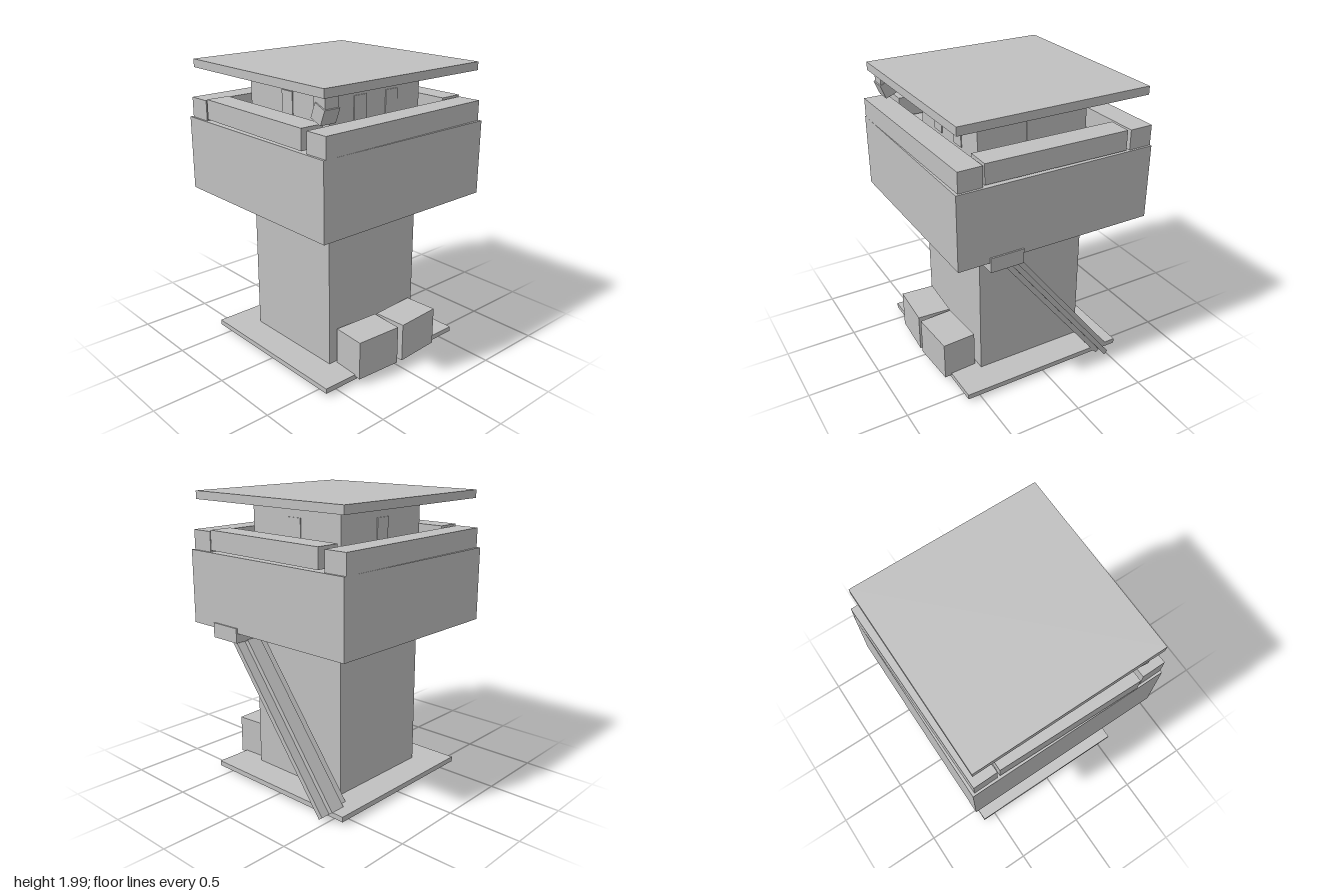
import * as THREE from 'three';

export function createModel() {
  const model = new THREE.Group();
  model.name = 'watchtower';
  const grey = new THREE.MeshStandardMaterial({ color: 0xc0c0c0 });
  grey.name = 'plain grey';

  // Box of a given size, placed by its centre, with optional rotation
  function box(name, [w, h, d], [x, y, z], [rx, ry] = [0, 0]) {
    const mesh = new THREE.Mesh(new THREE.BoxGeometry(w, h, d), grey);
    mesh.name = name;
    mesh.position.set(x, y, z);
    mesh.rotation.set(rx, ry, 0);
    model.add(mesh);
    return mesh;
  }

  const cx = -0.008; // tower axis

  // Main stack
  box('base', [1.195, 0.035, 1.195], [cx, 0.048, 0]);
  box('shaft', [0.78, 1.885, 0.78], [cx, 1.005, 0]);
  box('platform', [1.375, 0.502, 1.375], [cx, 1.361, 0]);
  box('roof', [1.311, 0.055, 1.311], [cx, 1.9725, 0]);

  // Parapet walls, each slightly askew
  box('frontParapet', [1.345, 0.135, 0.162], [cx, 1.679, 0.597], [0, 0.015]);
  box('backParapet', [1.345, 0.135, 0.162], [cx, 1.679, -0.597], [0, 0.015]);
  box('leftParapet', [0.162, 0.133, 0.985], [0.592, 1.691, 0.003], [0, -0.015]);
  box('rightParapet', [0.162, 0.133, 0.985], [-0.607, 1.691, 0.003], [0, -0.015]);

  // Thin window plates around the lookout
  const windowY = 1.75, windowH = 0.21;
  for (const x of [-0.144, 0.126]) {
    box('frontWindow', [0.105, windowH, 0.008], [x, windowY, 0.392]);
  }
  box('backWindow', [0.105, windowH, 0.008], [cx, windowY, -0.392]);
  for (const side of [-1, 1]) {
    box('sideWindow', [0.008, windowH, 0.105], [cx + side * 0.392, windowY, 0]);
  }

  // Spotlight hanging from the roof corner
  box('lampBracket', [0.1, 0.09, 0.1], [-0.575, 1.905, 0.57]);
  box('lamp', [0.115, 0.1, 0.09], [-0.577, 1.84, 0.567], [0.38, 0]);

  // Crates by the front wall
  box('rightCrate', [0.33, 0.268, 0.235], [-0.188, 0.186, 0.535], [0, -0.06]);
  box('leftCrate', [0.33, 0.268, 0.235], [0.17, 0.186, 0.538], [0, 0.06]);

  // Leaning ladder with a cross-shaped section, and its landing
  const lean = 0.6577;
  box('ladderSpine', [0.105, 1.33, 0.1], [0.543, 0.5635, -0.069], [lean, 0]);
  box('ladderPlate', [0.235, 1.33, 0.034], [0.543, 0.5635, -0.069], [lean, 0]);
  box('ladderLanding', [0.295, 0.1, 0.23], [0.542, 1.095, 0.36]);

  return model;
}
